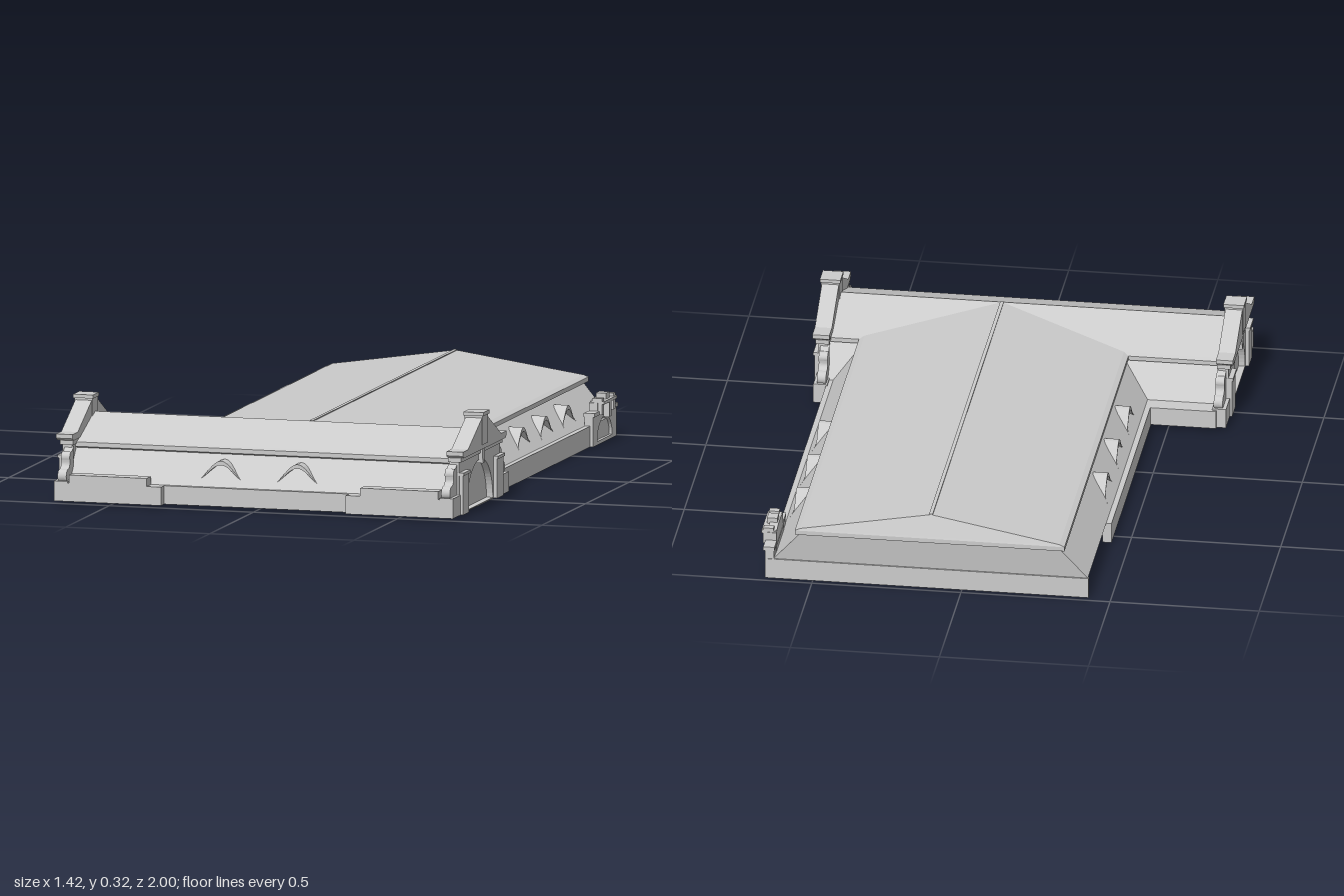
import * as THREE from 'three';

const mat = new THREE.MeshStandardMaterial({ color: 0xcccccc, flatShading: true, side: THREE.DoubleSide });

const WING_Z = 0.68;   // ridge of the front wing
const HALL_X = 0.105;  // ridge of the long hall

// Half profiles [distance from ridge, height], eave to ridge
const wingHalf = [[0.27, 0.07], [0.185, 0.17], [0.196, 0.175], [0.196, 0.19], [0.18, 0.195], [0, 0.265]];
const hallHalf = [[0.527, 0.07], [0.44, 0.17], [0.452, 0.175], [0.452, 0.19], [0.435, 0.197], [0, 0.265]];

export function createModel() {
  const model = new THREE.Group();

  const add = (name, geometry, parent = model) => {
    const mesh = new THREE.Mesh(geometry, mat);
    mesh.name = name;
    parent.add(mesh);
    return mesh;
  };

  // Box given by its limits on each axis
  const box = (name, x0, x1, y0, y1, z0, z1, parent) =>
    add(name, new THREE.BoxGeometry(x1 - x0, y1 - y0, z1 - z0), parent)
      .position.set((x0 + x1) / 2, (y0 + y1) / 2, (z0 + z1) / 2);

  // Surface through equal rows of points
  const skin = (rows) => {
    const p = [];
    for (let i = 0; i < rows.length - 1; i++) {
      for (let j = 0; j < rows[i].length - 1; j++) {
        const a = rows[i][j], b = rows[i][j + 1], c = rows[i + 1][j + 1], d = rows[i + 1][j];
        p.push(...a, ...b, ...c, ...a, ...c, ...d);
      }
    }
    const g = new THREE.BufferGeometry();
    g.setAttribute('position', new THREE.Float32BufferAttribute(p, 3));
    g.computeVertexNormals();
    return g;
  };

  // Plate with a symmetric outline in (z, y), running from x0 to x1
  const plate = (name, half, x0, x1, z, parent, hole) => {
    const pts = [...half, ...half.map(([u, y]) => [-u, y]).reverse()];
    const shape = new THREE.Shape(pts.map(([u, y]) => new THREE.Vector2(u, y)));
    if (hole) shape.holes.push(hole);
    const g = new THREE.ExtrudeGeometry(shape, { depth: x1 - x0, bevelEnabled: false, curveSegments: 16 });
    g.rotateY(Math.PI / 2);
    add(name, g, parent).position.set(x0, 0, z);
  };

  const archPath = (rx, ry) => {
    const path = new THREE.Path();
    path.moveTo(rx, 0.012);
    path.absellipse(0, 0.012, rx, ry, 0, Math.PI, false, 0);
    path.closePath();
    return path;
  };

  // Front wing roof: two mansard slopes with a moulded cornice
  const wingRoof = new THREE.Group();
  wingRoof.name = 'frontWingRoof';
  model.add(wingRoof);
  for (const s of [1, -1]) {
    add('wingSlope', skin(wingHalf.map(([d, y]) =>
      [[-0.66 * s, y, WING_Z + s * d], [0.66 * s, y, WING_Z + s * d]])
      .reverse().map((r) => r.reverse())), wingRoof);
  }

  // Long hall roof, mitred into the back of the wing along its valleys
  const hallRoof = new THREE.Group();
  hallRoof.name = 'hallRoof';
  model.add(hallRoof);
  const backZ = [-0.975, -0.988, -1, -1, -0.997, -0.97];
  for (const s of [1, -1]) {
    add('hallSlope', skin(hallHalf.map(([d, y], i) => {
      const x = HALL_X + s * d;
      const row = [[x, y, WING_Z - wingHalf[i][0]], [x, y, backZ[i]]];
      return s > 0 ? row : row.reverse();
    })), hallRoof);
  }
  add('hallEnd', skin(hallHalf.map(([d, y], i) =>
    [[HALL_X + d, y, backZ[i]], [HALL_X - d, y, backZ[i]]])), hallRoof);
  box('hallRidgeCap', HALL_X - 0.006, HALL_X + 0.006, 0.258, 0.267, -0.97, 0.68, hallRoof);

  // Eyebrow dormer: a bell curve running back into a slope
  const dormer = (x, z, angle) => {
    const g = new THREE.Group();
    g.name = 'eyebrowDormer';
    const steps = 18;
    const bell = (lift) => {
      const rows = [[], []];
      for (let i = 0; i <= steps; i++) {
        const t = (i / steps) * 2 - 1;
        const y = 0.085 + lift * (0.5 + 0.5 * Math.cos(Math.PI * t)) ** 0.9;
        const slopeZ = -0.85 * (y - 0.07);
        rows[0].push([t * 0.088, y, Math.max(-0.024, slopeZ)]);
        rows[1].push([t * 0.088, y, slopeZ - 0.004]);
      }
      return rows;
    };
    const outer = bell(0.07), inner = bell(0.056);
    add('dormerRoof', skin(outer), g);
    add('dormerSoffit', skin([inner[1], inner[0]]), g);
    add('dormerRim', skin([inner[0], outer[0]]), g);
    g.position.set(x, 0, z);
    g.rotation.y = angle;
    model.add(g);
  };
  for (const x of [-0.135, 0.13]) dormer(x, WING_Z + 0.27, 0);
  for (const z of [-0.6, -0.345, -0.085]) dormer(HALL_X + 0.527, z, Math.PI / 2);
  for (const z of [-0.345, -0.085, 0.17]) dormer(HALL_X - 0.527, z, -Math.PI / 2);

  // Base walls and front parapets
  box('frontMiddleWall', -0.33, 0.33, 0.008, 0.07, 0.93, 0.965);
  for (const s of [1, -1]) {
    box('frontSideWall', Math.min(s * 0.32, s * 0.66), Math.max(s * 0.32, s * 0.66), 0.008, 0.07, 0.94, 1);
    box('frontParapet', Math.min(s * 0.37, s * 0.64), Math.max(s * 0.37, s * 0.64), 0.07, 0.097, 0.95, 1);
  }
  box('wingBackWall', -0.66, -0.41, 0.008, 0.07, 0.35, 0.41);
  box('hallLeftWall', 0.62, 0.65, 0, 0.07, -0.975, 0.41);
  box('hallRightWall', -0.44, -0.41, 0, 0.07, -0.55, 0.41);
  box('hallBackWall', -0.425, 0.65, 0, 0.07, -0.98, -0.965);

  // Ornate gable, built for +x and turned round for -x
  const gable = (side) => {
    const g = new THREE.Group();
    g.name = 'gable';
    plate('gableWall', [[0.235, 0.008], [0.235, 0.205], [0.19, 0.205], [0.03, 0.29]],
      0.655, 0.688, 0, g, archPath(0.15, 0.15));
    plate('archBack', [[0.16, 0.008], [0.16, 0.14], [0.08, 0.18]], 0.65, 0.666, 0, g);
    plate('coping', [[0.183, 0.2], [0.238, 0.2], [0.25, 0.208], [0.25, 0.222], [0.19, 0.222], [0.03, 0.305]]
      .concat([[0.0005, 0.305]]), 0.648, 0.705, 0, g, undefined);
    plate('copingBed', [[0.24, 0.185], [0.24, 0.2], [0.185, 0.2], [0.03, 0.285], [0.02, 0.27], [0.18, 0.185]].slice(0, 4),
      0.65, 0.695, 0, g);
    box('peakBlock', 0.645, 0.707, 0.215, 0.314, -0.03, 0.03, g);
    box('peakCap', 0.642, 0.711, 0.312, 0.324, -0.035, 0.035, g);
    plate('keystone', [[0.01, 0.15], [0.022, 0.26]], 0.68, 0.702, 0, g);
    for (const s of [1, -1]) {
      const zs = (a, b) => (s > 0 ? [a, b] : [-b, -a]);
      box('pilaster', 0.68, 0.7, 0.008, 0.14, ...zs(0.16, 0.232), g);
      box('pilasterCap', 0.68, 0.704, 0.14, 0.15, ...zs(0.156, 0.236), g);
      box('cornerPlinth', 0.645, 0.692, 0.008, 0.075, ...zs(0.23, 0.32), g);
      // Scrolled shoulder
      const scroll = new THREE.Shape();
      scroll.moveTo(0.23, 0.07);
      scroll.lineTo(0.305, 0.07);
      scroll.absarc(0.294, 0.09, 0.022, -0.9, 1.7, false);
      scroll.quadraticCurveTo(0.272, 0.118, 0.274, 0.135);
      scroll.absarc(0.258, 0.148, 0.018, -0.4, 1.9, false);
      scroll.lineTo(0.23, 0.18);
      const sg = new THREE.ExtrudeGeometry(scroll, { depth: 0.03, bevelEnabled: false, curveSegments: 8 });
      sg.rotateY(-Math.PI / 2);
      const m = add('scroll', sg, g);
      m.position.x = s > 0 ? 0.68 : 0.65;
      if (s < 0) m.rotation.y = Math.PI;
    }
    g.position.z = WING_Z;
    if (side < 0) g.rotation.y = Math.PI;
    model.add(g);
  };
  gable(1);
  gable(-1);

  // Small side gate with an arched opening and stepped top
  const gate = new THREE.Group();
  gate.name = 'sideGate';
  gate.position.z = -0.845;
  model.add(gate);
  plate('gateWall', [[0.133, 0], [0.133, 0.1], [0.08, 0.1], [0.08, 0.14], [0.03, 0.15]],
    0.63, 0.66, 0, gate, archPath(0.085, 0.075));
  plate('gateArchBack', [[0.09, 0.005], [0.09, 0.095]], 0.628, 0.638, 0, gate);
  box('gateTopBlock', 0.635, 0.67, 0.145, 0.165, -0.02, 0.02, gate);
  box('gateTopMoulding', 0.632, 0.68, 0.135, 0.145, -0.075, 0.075, gate);
  box('gateKeystone', 0.65, 0.68, 0.085, 0.135, -0.014, 0.014, gate);
  for (const s of [1, -1]) {
    box('gateShoulder', 0.628, 0.666, 0.1, 0.113, s * 0.108 - 0.027, s * 0.108 + 0.027, gate);
    box('gatePost', 0.64, 0.674, 0.1, 0.155, s * 0.066 - 0.012, s * 0.066 + 0.012, gate);
  }

  return model;
}
